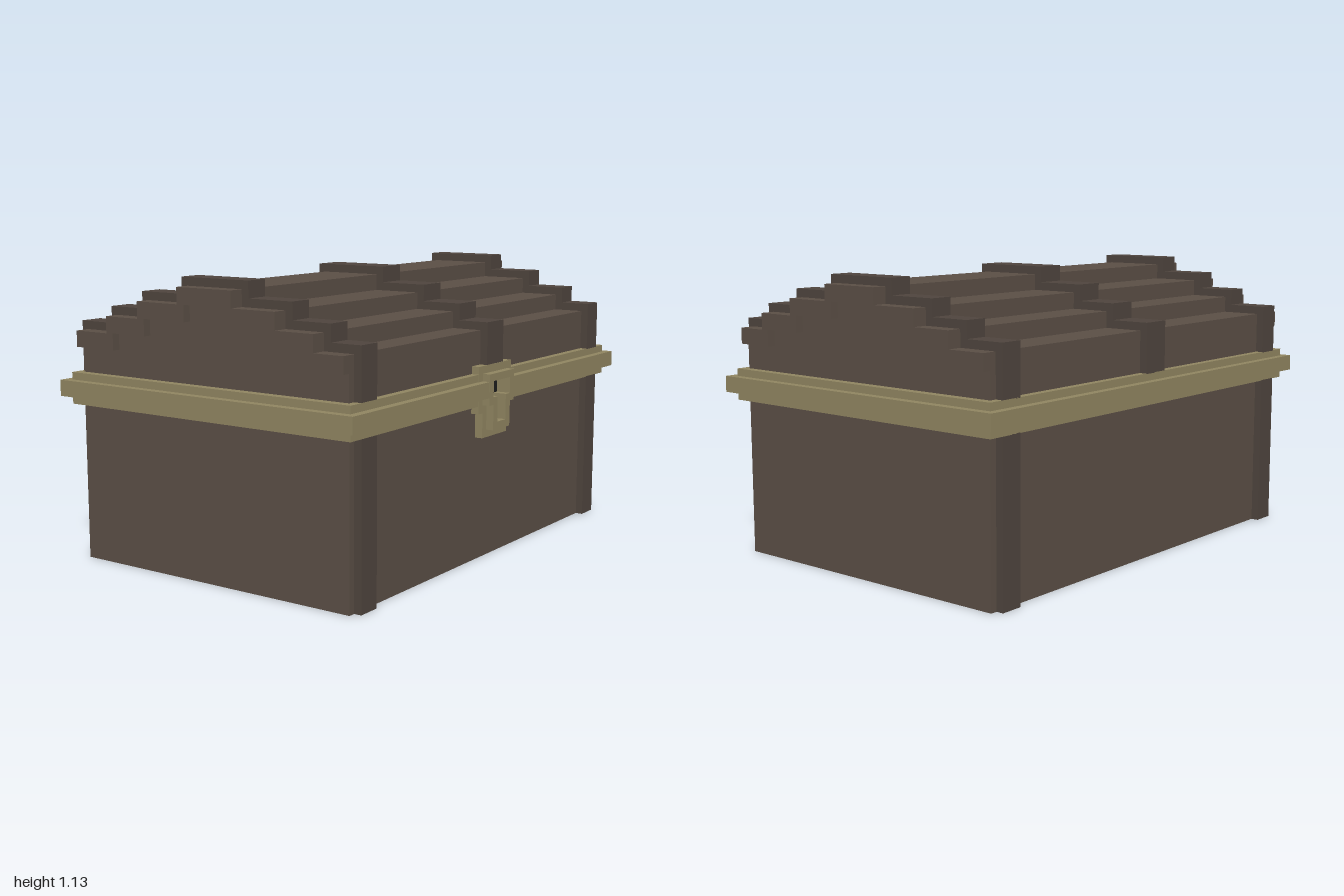
import * as THREE from 'three';

const paint = (color) => new THREE.MeshStandardMaterial({ color });

export function createModel() {
  const chest = new THREE.Group();
  const wood = paint(0x5a4e45);
  const darkWood = paint(0x4e443d);
  const brass = paint(0x8f8460);
  const black = paint(0x1c1c1c);

  const add = (name, geometry, material, parent = chest) => {
    const mesh = new THREE.Mesh(geometry, material);
    mesh.name = name;
    parent.add(mesh);
    return mesh;
  };
  // Box given by its limits on each axis
  const box = (name, [x0, x1], [y0, y1], [z0, z1], material, parent) => {
    const mesh = add(name, new THREE.BoxGeometry(x1 - x0, y1 - y0, z1 - z0), material, parent);
    mesh.position.set((x0 + x1) / 2, (y0 + y1) / 2, (z0 + z1) / 2);
  };
  const toShape = (points) => new THREE.Shape(points.map(([x, y]) => new THREE.Vector2(x, y)));

  // Stepped arch of the lid, front to back, as [z, y] points
  const frontZ = [0.63, 0.505, 0.34, 0.145];
  const backZ = [0.63, 0.47, 0.308, 0.11];
  const topY = [0.905, 0.97, 1.035, 1.098];
  const arch = (dz, dy, endZ, baseY) => {
    const front = [[endZ, baseY]];
    const back = [[-endZ, baseY]];
    topY.forEach((y, i) => {
      const f = i ? frontZ[i] + dz : endZ;
      const b = i ? backZ[i] + dz : endZ;
      const low = i ? topY[i - 1] + dy : baseY;
      if (i) { front.push([f, low]); back.push([-b, low]); }
      front.push([f, y + dy]);
      back.push([-b, y + dy]);
    });
    return [...front, ...back.reverse()];
  };
  // Extrude a [z, y] outline along x
  const alongX = (points, x0, x1) => {
    const shape = toShape(points.map(([z, y]) => [-z, y]));
    return new THREE.ExtrudeGeometry(shape, { depth: x1 - x0, bevelEnabled: false })
      .rotateY(Math.PI / 2).translate(x0, 0, 0);
  };

  // Body with corner straps on front and back
  box('body', [-0.932, 0.932], [0, 0.74], [-0.63, 0.63], wood);
  for (const sx of [-1, 1]) {
    for (const sz of [-1, 1]) {
      const x = sx * 0.857, z = sz * 0.645;
      box('bodyStrap', [x - 0.047, x + 0.047], [0, 0.62], [z - 0.015, z + 0.015], darkWood);
    }
  }

  // Lid: recessed core, overhanging stepped planks, three straps
  const lid = new THREE.Group();
  lid.name = 'lid';
  chest.add(lid);
  const inner = arch(-0.033, -0.063, 0.63, 0.74);
  add('lidCore', alongX(inner, -0.932, 0.932), wood, lid);
  const outer = arch(0, 0, 0.63, 0.842);
  const underside = inner.slice(1, -1).reverse();
  add('lidPlanks', alongX([...outer.slice(1, -1), ...underside], -0.965, 0.965), wood, lid);
  for (const [x, half] of [[-0.857, 0.047], [0, 0.062], [0.857, 0.047]]) {
    add('lidStrap', alongX(arch(0.03, 0.032, 0.66, 0.74), x - half, x + half), darkWood, lid);
  }

  // Rim trim in two layers, open at the front for the lock
  const rim = (name, y, x, z, innerX, innerZ, gap) => {
    const group = new THREE.Group();
    group.name = name;
    chest.add(group);
    box('rimBack', [-x, x], y, [-z, -innerZ], brass, group);
    box('rimLeft', [innerX, x], y, [-innerZ, innerZ], brass, group);
    box('rimRight', [-x, -innerX], y, [-innerZ, innerZ], brass, group);
    box('rimFrontLeft', [gap, x], y, [innerZ, z], brass, group);
    box('rimFrontRight', [-x, -gap], y, [innerZ, z], brass, group);
  };
  rim('rimBase', [0.618, 0.742], 0.967, 0.66, 0.93, 0.628, 0.125);
  rim('rimRidge', [0.65, 0.713], 1, 0.692, 0.967, 0.66, 0.095);

  // Lock: two stepped plates pierced by a T-shaped keyhole
  const tee = (wide, top, mid, narrow, bottom) => [
    [-wide, top], [-wide, mid], [-narrow, mid], [-narrow, bottom],
    [narrow, bottom], [narrow, mid], [wide, mid], [wide, top],
  ];
  const keyhole = tee(0.064, 0.713, 0.65, 0.032, 0.55);
  const lockPlate = (name, outline, z0, z1) => {
    const shape = toShape(outline);
    shape.holes.push(toShape(keyhole));
    const geometry = new THREE.ExtrudeGeometry(shape, { depth: z1 - z0, bevelEnabled: false });
    add(name, geometry.translate(0, 0, z0), brass);
  };
  lockPlate('lockBackplate', tee(0.125, 0.772, 0.588, 0.094, 0.49), 0.63, 0.662);
  lockPlate('lockFrontplate', tee(0.095, 0.742, 0.62, 0.064, 0.52), 0.662, 0.693);
  add('keyhole', new THREE.ShapeGeometry(toShape(keyhole)).translate(0, 0, 0.635), black);

  return chest;
}
